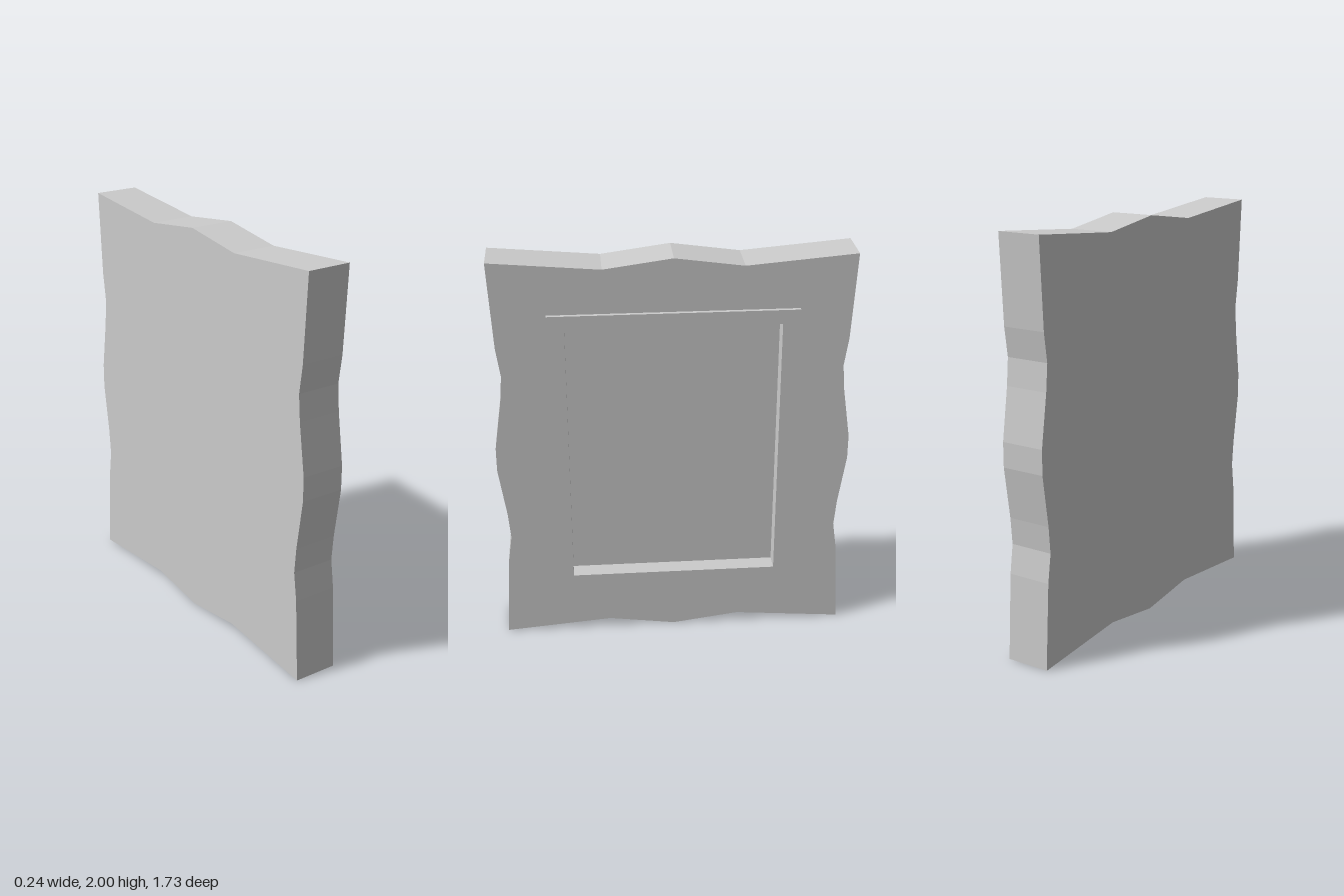
import * as THREE from 'three';
import { mergeGeometries } from 'three/addons/utils/BufferGeometryUtils.js';

// Profiles are drawn in (u, v) and stacked along depth w; at the end w is turned to +x.
const BACK = -0.12, FACE = 0.1, RIM = 0.12, FLOOR = 0.03;

const rect = (halfWidth, v0, v1) => [
  [-halfWidth, v0], [halfWidth, v0], [halfWidth, v1], [-halfWidth, v1],
].map(([u, v]) => new THREE.Vector2(u, v));

// Wavy outline: one quarter, mirrored upward, then turned half round
function wavyOutline() {
  const quarter = [
    [0, 0], [0.33, 0.045], [0.858, 0], [0.835, 0.42],
    [0.815, 0.56], [0.826, 0.69], [0.863, 0.94],
  ];
  const upper = quarter.map(([u, v]) => [u, 2 - v]).reverse();
  const right = [...quarter, ...upper];
  const left = right.map(([u, v]) => [-u, 2 - v]);
  return [...right.slice(0, -1), ...left.slice(0, -1)].map(([u, v]) => new THREE.Vector2(u, v));
}

// Flat face at depth w, with an optional opening
function face(points, w, hole) {
  const shape = new THREE.Shape(points);
  if (hole) shape.holes.push(new THREE.Path(hole));
  const g = new THREE.ShapeGeometry(shape).toNonIndexed();
  g.deleteAttribute('uv');
  return g.translate(0, 0, w);
}

// Straight walls along a closed outline, facing outward for counterclockwise points
function walls(points, w0, w1) {
  const pos = [];
  points.forEach((a, i) => {
    const b = points[(i + 1) % points.length];
    pos.push(a.x, a.y, w0, b.x, b.y, w0, b.x, b.y, w1);
    pos.push(a.x, a.y, w0, b.x, b.y, w1, a.x, a.y, w1);
  });
  const g = new THREE.BufferGeometry();
  g.setAttribute('position', new THREE.Float32BufferAttribute(pos, 3));
  g.computeVertexNormals();
  return g;
}

export function createModel() {
  const group = new THREE.Group();
  group.name = 'wavyPanel';
  const grey = new THREE.MeshStandardMaterial({ color: 0xcccccc });
  grey.name = 'light grey';

  const add = (name, parts) => {
    const mesh = new THREE.Mesh(mergeGeometries(parts).rotateY(Math.PI / 2), grey);
    mesh.name = name;
    group.add(mesh);
  };

  const outline = wavyOutline();
  const rimOuter = rect(0.594, 0.26, 1.74);
  const opening = rect(0.511, 0.33, 1.67);

  // Thick slab with wavy edges
  add('slab', [
    face(outline, -BACK).rotateY(Math.PI),
    walls(outline, BACK, FACE),
    face(outline, FACE, rimOuter),
  ]);

  // Thin raised border
  add('raisedRim', [walls(rimOuter, FACE, RIM), face(rimOuter, RIM, opening)]);

  // Sunken picture area
  add('recess', [walls([...opening].reverse(), FLOOR, RIM), face(opening, FLOOR)]);

  return group;
}
